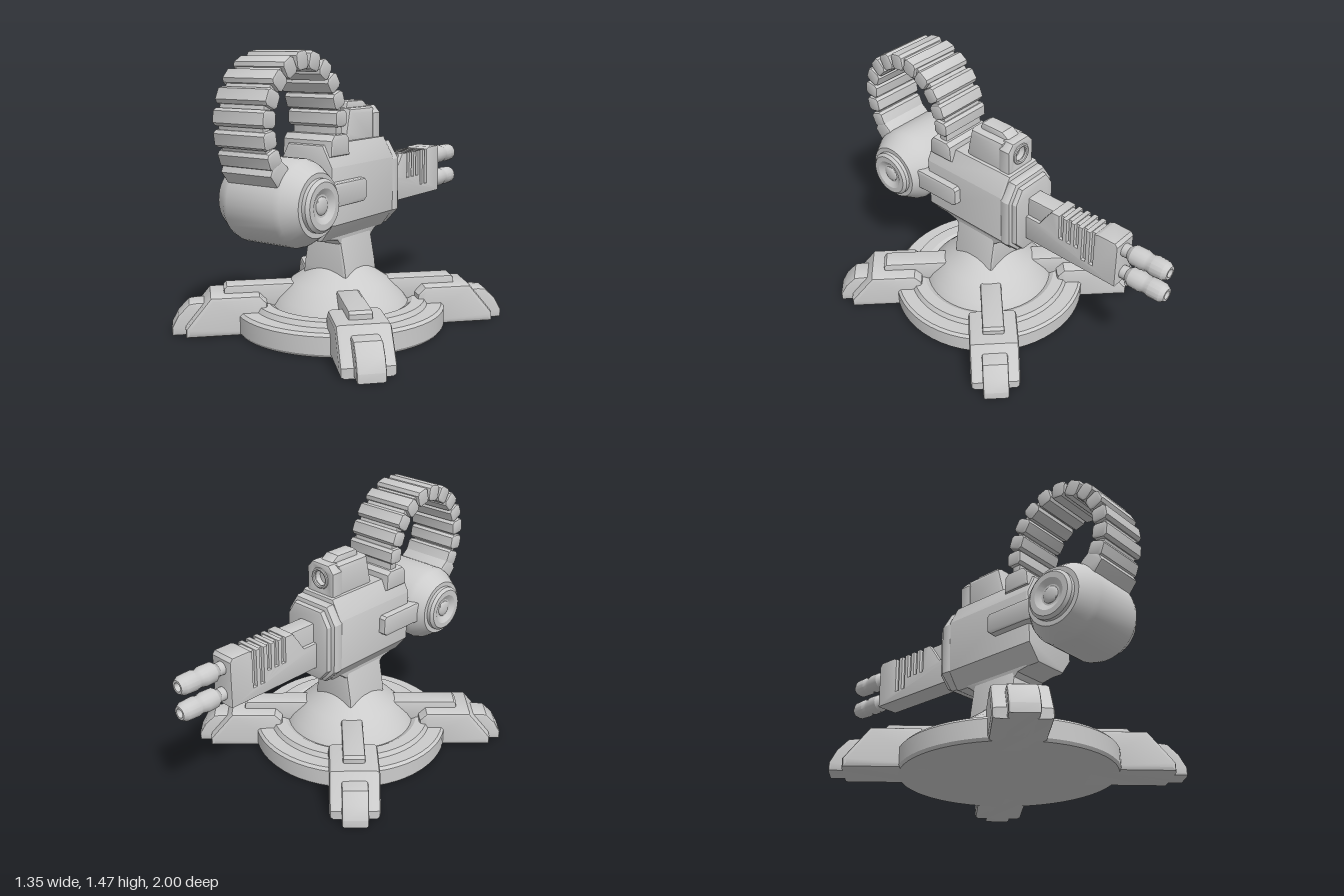
import * as THREE from 'three';
import { toCreasedNormals } from 'three/addons/utils/BufferGeometryUtils.js';

const material = new THREE.MeshStandardMaterial({ color: 0xcccccc });

function part(parent, name, geometry) {
  const mesh = new THREE.Mesh(toCreasedNormals(geometry, 0.5), material);
  mesh.name = name;
  parent.add(mesh);
  return mesh;
}

// Outline extruded to a depth centred on zero, with bevels kept inside the outline
function slab(points, depth, bevel, hole) {
  const shape = new THREE.Shape(points.map(([a, b]) => new THREE.Vector2(a, b)));
  if (hole) shape.holes.push(new THREE.Path().absarc(hole[0], hole[1], hole[2], 0, Math.PI * 2, true));
  const geo = new THREE.ExtrudeGeometry(shape, {
    depth: depth - 2 * bevel, bevelEnabled: bevel > 0, bevelSize: bevel,
    bevelThickness: bevel, bevelOffset: -bevel, bevelSegments: 2, curveSegments: 16,
  });
  return geo.translate(0, 0, bevel - depth / 2);
}

// Side outline given as [z, y], extruded across x
const sidePrism = (points, width, bevel = 0.012) => slab(points, width, bevel).rotateY(-Math.PI / 2);

// Front outline given as [x, y] for the +x half, mirrored and extruded from z0 to z1
function frontPrism(half, z0, z1, bevel = 0.012, hole) {
  const mirrored = half.map(([x, y]) => [-x, y]).reverse();
  return slab([...half, ...mirrored], z1 - z0, bevel, hole).translate(0, 0, (z0 + z1) / 2);
}

const rect = (z0, z1, y0, y1) => [[z0, y0], [z1, y0], [z1, y1], [z0, y1]];
const lathe = (points, sides = 40) =>
  new THREE.LatheGeometry(points.map(([r, y]) => new THREE.Vector2(r, y)), sides);

function addBase(model) {
  const base = new THREE.Group();
  base.name = 'base';
  base.position.z = 0.21;
  model.add(base);
  part(base, 'baseDisc', lathe([
    [0, 0], [0.55, 0], [0.56, 0.015], [0.56, 0.105], [0.545, 0.12], [0.47, 0.12], [0.455, 0.145],
    [0.39, 0.145], [0.365, 0.13], [0.34, 0.17], [0.26, 0.25], [0.155, 0.32], [0.14, 0.33], [0, 0.33],
  ], 56));
  // Four diagonal feet
  for (let i = 0; i < 4; i++) {
    const leg = new THREE.Group();
    leg.name = 'leg';
    leg.rotation.y = Math.PI / 4 + i * Math.PI / 2;
    base.add(leg);
    part(leg, 'legBody', sidePrism([
      [0.4, 0], [0.82, 0], [0.82, 0.05], [0.78, 0.1], [0.69, 0.21], [0.44, 0.21], [0.4, 0.17],
    ], 0.27, 0.022));
    part(leg, 'toe', sidePrism([
      [0.6, 0], [0.89, 0], [0.89, 0.045], [0.855, 0.11], [0.8, 0.165], [0.76, 0.17], [0.6, 0.17],
    ], 0.14, 0.012));
    part(leg, 'legBrace', sidePrism([
      [0.2, 0.13], [0.62, 0.13], [0.62, 0.235], [0.605, 0.25], [0.24, 0.25], [0.2, 0.23],
    ], 0.12));
  }
}

function addBody(model) {
  part(model, 'pedestal', frontPrism([[0.14, 0.28], [0.135, 0.34], [0.105, 0.5], [0.095, 0.54]], 0.065, 0.35, 0.015));
  part(model, 'underPlate', sidePrism([
    [0.08, 0.46], [0.34, 0.46], [0.37, 0.495], [0.5, 0.52], [0.5, 0.62], [-0.05, 0.62], [-0.05, 0.54], [0.03, 0.5],
  ], 0.21));
  part(model, 'body', frontPrism([[0.1, 0.51], [0.17, 0.6], [0.17, 0.89], [0.11, 1.0]], -0.06, 0.505, 0.015));
  part(model, 'collar', frontPrism([[0.1, 0.52], [0.175, 0.6], [0.175, 0.88], [0.115, 0.975]], -0.11, -0.04, 0.02));
  part(model, 'collarFace', frontPrism([[0.09, 0.54], [0.15, 0.61], [0.15, 0.87], [0.1, 0.95]], -0.14, -0.08, 0.015));
  // Sight housing with a round recess facing the muzzle
  const sightHalf = [[0.095, 0.96], [0.095, 1.13], [0.06, 1.17]];
  part(model, 'sightFront', frontPrism(sightHalf, -0.04, 0.03, 0.01, [0, 1.085, 0.045]));
  part(model, 'sightHousing', sidePrism([
    [0.0, 0.96], [0.28, 0.96], [0.265, 1.04], [0.235, 1.165], [0.01, 1.165],
  ], 0.18, 0.025));
  part(model, 'sightRing', new THREE.TorusGeometry(0.05, 0.011, 8, 24).translate(0, 1.085, -0.038));
  part(model, 'sightRidge', sidePrism([[0.21, 1.14], [0.2, 1.19], [0.19, 1.2], [0.05, 1.2], [0.01, 1.17], [0.01, 1.14]], 0.09));
}

function addGun(model) {
  part(model, 'gunCore', sidePrism(rect(-0.72, -0.1, 0.62, 0.87), 0.1, 0.008));
  // Cheek outline with cooling slots cut from the top
  const outline = [[-0.1, 0.61], [-0.73, 0.61], [-0.73, 0.865], [-0.715, 0.885], [-0.61, 0.885]];
  for (const z of [-0.575, -0.525, -0.475, -0.425, -0.375]) {
    const floor = z < -0.5 ? 0.67 : 0.73;
    outline.push([z - 0.012, 0.875], [z - 0.012, floor], [z + 0.012, floor], [z + 0.012, 0.875]);
  }
  outline.push([-0.31, 0.875], [-0.27, 0.82], [-0.23, 0.76], [-0.1, 0.76]);
  part(model, 'gunCheeks', sidePrism(outline.reverse(), 0.14, 0.005));
  for (const y of [0.815, 0.67]) {
    part(model, 'barrel', lathe([
      [0, -0.02], [0.036, -0.02], [0.036, 0.035], [0.053, 0.06], [0.055, 0.12], [0.048, 0.145], [0.048, 0.16],
      [0.054, 0.18], [0.051, 0.245], [0.036, 0.27], [0.024, 0.27], [0.02, 0.245], [0, 0.245],
    ], 16).rotateX(-Math.PI / 2).translate(0, y, -0.73));
  }
}

function addDrum(model) {
  const half = [[0, 0.262], [0.055, 0.262], [0.085, 0.28], [0.115, 0.28], [0.13, 0.265], [0.13, 0.245],
    [0.155, 0.245], [0.165, 0.23], [0.205, 0.17], [0.215, 0.14]];
  const profile = [...half.map(([r, x]) => [r, -x]), ...half.slice().reverse()];
  part(model, 'ammoDrum', lathe(profile, 36).rotateZ(-Math.PI / 2).translate(0, 0.745, 0.715));
  for (const side of [-1, 1]) {
    part(model, 'drumArm', sidePrism([
      [0.6, 0.69], [0.6, 0.81], [0.52, 0.82], [0.27, 0.82], [0.255, 0.805], [0.255, 0.72], [0.28, 0.7], [0.5, 0.7],
    ], 0.09).translate(side * 0.165, 0, 0));
    part(model, 'hubCap', new THREE.SphereGeometry(0.045, 16, 10).scale(0.3, 1, 1).translate(side * 0.262, 0.745, 0.715));
  }
}

function addBelt(model) {
  part(model, 'feedBlock', sidePrism([
    [0.33, 0.94], [0.49, 0.94], [0.485, 1.02], [0.46, 1.05], [0.36, 1.05], [0.335, 1.03],
  ], 0.31));
  part(model, 'drumOutlet', sidePrism([
    [0.76, 0.86], [0.9, 0.84], [0.95, 0.9], [0.93, 0.945], [0.87, 0.97], [0.83, 0.94],
  ], 0.31));
  const path = new THREE.CatmullRomCurve3([
    [0.4, 1.08], [0.405, 1.17], [0.47, 1.315], [0.56, 1.39], [0.66, 1.42],
    [0.77, 1.4], [0.88, 1.32], [0.945, 1.19], [0.945, 1.06], [0.9, 0.93],
  ].map(([z, y]) => new THREE.Vector3(0, y, z)));
  const link = sidePrism([
    [-0.042, -0.028], [-0.028, -0.045], [0.028, -0.045], [0.042, -0.028],
    [0.042, 0.028], [0.028, 0.045], [-0.028, 0.045], [-0.042, 0.028],
  ], 0.31, 0.01);
  const joint = sidePrism(rect(-0.045, 0.045, -0.025, 0.025), 0.27, 0.006);
  const count = 12;
  // Links and thinner joints alternate along the loop
  for (let i = 0; i <= count * 2; i++) {
    const t = i / (count * 2);
    const tangent = path.getTangentAt(t);
    const mesh = part(model, i % 2 ? 'beltLink' : 'beltJoint', i % 2 ? link : joint);
    mesh.position.copy(path.getPointAt(t));
    mesh.rotation.x = Math.atan2(-tangent.y, tangent.z);
  }
}

export function createModel() {
  const model = new THREE.Group();
  model.name = 'sentryTurret';
  addBase(model);
  addBody(model);
  addGun(model);
  addDrum(model);
  addBelt(model);
  return model;
}
